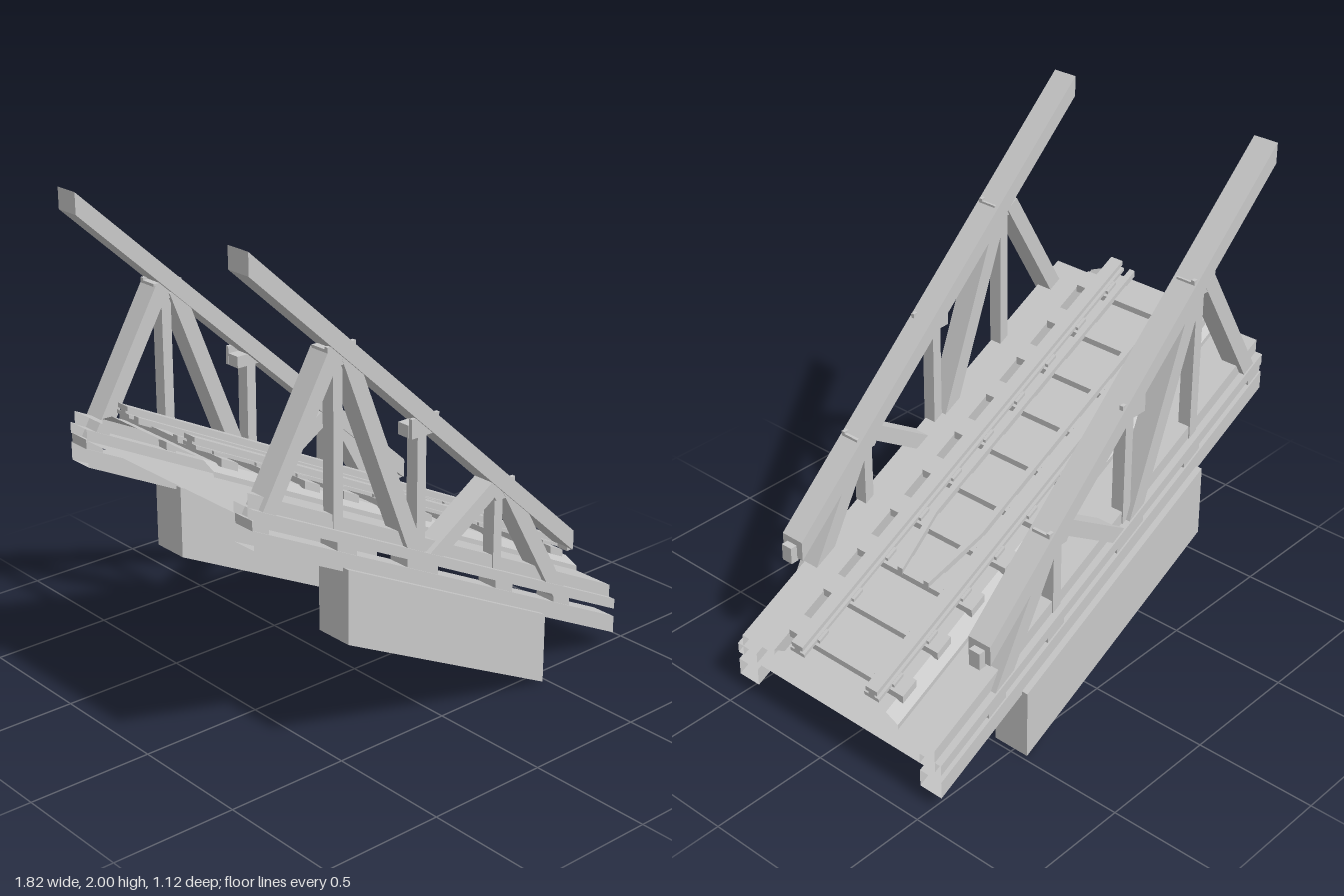
import * as THREE from 'three';

// Double-sided because the deck and the box beams are open at their ends
const steel = new THREE.MeshStandardMaterial({ color: 0xc8c8c8, side: THREE.DoubleSide });
steel.name = 'steelGrey';
const SLOPE = -0.5;

export function createModel() {
  const model = new THREE.Group();
  model.name = 'inclinedRailBridge';

  const add = (name, geometry, parent = model) => {
    const mesh = new THREE.Mesh(geometry, steel);
    mesh.name = name;
    parent.add(mesh);
    return mesh;
  };

  const outline = (pts) => new THREE.Shape(pts.map(([x, y]) => new THREE.Vector2(x, y)));

  // Flat outline in x/y, given depth from z0 to z1
  const prism = (name, pts, z0, z1, parent) => {
    const g = new THREE.ExtrudeGeometry(outline(pts), { depth: z1 - z0, bevelEnabled: false });
    return add(name, g.translate(0, 0, z0), parent);
  };

  // Beam following the incline; heights are measured at x = 0
  const incline = (name, x0, x1, h0, h1, z0, z1, parent) => prism(name, [
    [x0, h0 + SLOPE * x0], [x1, h0 + SLOPE * x1],
    [x1, h1 + SLOPE * x1], [x0, h1 + SLOPE * x0],
  ], z0, z1, parent);

  // Open-ended shell of full length: a z/y cross-section run along the incline
  const shell = (name, pts, parent) => {
    const solid = new THREE.ExtrudeGeometry(outline(pts.map(([z, y]) => [-z, y])), { depth: 1.82, bevelEnabled: false });
    solid.translate(0, 0, -0.91).rotateY(Math.PI / 2);
    const { start, count } = solid.groups[1];
    const xyz = solid.attributes.position.array.slice(start * 3, (start + count) * 3);
    for (let i = 0; i < xyz.length; i += 3) xyz[i + 1] += SLOPE * xyz[i];
    const g = new THREE.BufferGeometry();
    g.setAttribute('position', new THREE.BufferAttribute(xyz, 3));
    g.computeVertexNormals();
    return add(name, g, parent);
  };

  // Straight brace of a given width between two points
  const brace = (name, [ax, ay], [bx, by], width, z0, z1, parent) => {
    const len = Math.hypot(bx - ax, by - ay);
    const nx = -(by - ay) / len * width / 2, ny = (bx - ax) / len * width / 2;
    return prism(name, [[ax - nx, ay - ny], [bx - nx, by - ny], [bx + nx, by + ny], [ax + nx, ay + ny]], z0, z1, parent);
  };

  // Deck with the raised, sloped-sided track bed
  shell('deckAndTrackBed', [
    [-0.505, 0.62], [0.505, 0.62], [0.505, 0.715], [0.325, 0.715], [0.325, 0.735],
    [0.265, 0.762], [-0.265, 0.762], [-0.325, 0.735], [-0.325, 0.715], [-0.505, 0.715],
  ]);

  // Sleepers with a tie plate under each rail
  for (let i = 0; i < 10; i++) {
    const x = -0.82 + i * 0.182;
    incline('sleeper', x - 0.035, x + 0.035, 0.755, 0.786, -0.297, 0.297);
    for (const s of [-1, 1]) {
      incline('tiePlate', x - 0.024, x + 0.024, 0.786, 0.798, s * 0.193 - 0.05, s * 0.193 + 0.05);
    }
  }

  for (const s of [-1, 1]) {
    // Running rail: foot, web and head
    const z = s * 0.194;
    incline('railFoot', -0.91, 0.91, 0.786, 0.8, z - 0.037, z + 0.037);
    incline('railWeb', -0.91, 0.91, 0.8, 0.812, z - 0.015, z + 0.015);
    incline('railHead', -0.91, 0.91, 0.81, 0.828, z - 0.029, z + 0.029);

    // Guard rail, bent inwards at its lower end
    const g = s * 0.114;
    incline('guardRail', -0.91, 0.25, 0.78, 0.805, g - 0.013, g + 0.013);
    const tip = incline('guardRailTip', 0.25, 0.49, 0.78, 0.805, g - 0.013, g + 0.013);
    const tp = tip.geometry.attributes.position;
    for (let i = 0; i < tp.count; i++) tp.setZ(i, tp.getZ(i) - s * 0.047 * (tp.getX(i) - 0.25) / 0.24);
    tip.geometry.computeVertexNormals();
  }

  for (const s of [-1, 1]) {
    const truss = new THREE.Group();
    truss.name = s > 0 ? 'frontTruss' : 'backTruss';
    model.add(truss);
    // Depth range given outwards from the centre line
    const span = (a, b) => (s > 0 ? [a, b] : [-b, -a]);
    const full = span(0.43, 0.535), mid = span(0.437, 0.528), thin = span(0.455, 0.51);
    const inner = span(0.445, 0.512), outer = span(0.512, 0.527);

    // Foundation block, lower beam and bottom chord
    incline('foundationBlock', -0.52, 0.48, 0.24, 0.53, ...span(0.405, 0.562), truss);
    const box = (name, y0, y1) => shell(name, [[full[0], y0], [full[1], y0], [full[1], y1], [full[0], y1]], truss);
    box('lowerBeam', 0.515, 0.587);
    box('bottomChord', 0.62, 0.663);
    for (const [a, b] of [[-0.91, -0.84], [-0.54, -0.45], [-0.21, -0.06], [0.24, 0.33], [0.56, 0.65]]) {
      incline('spacer', a, b, 0.585, 0.622, ...mid, truss);
    }

    // Steep top chord and its end block
    prism('topChord', [[-0.91, 1.918], [0.65, 0.503], [0.65, 0.585], [-0.91, 2]], ...full, truss);
    prism('endBlock', [[0.645, 0.49], [0.68, 0.49], [0.68, 0.56], [0.645, 0.56]], ...span(0.46, 0.51), truss);

    // Upright posts
    for (const [x, top] of [[-0.52, 1.56], [-0.13, 1.2], [0.262, 0.85]]) {
      prism('post', [[x - 0.021, 0.64 + SLOPE * x], [x + 0.021, 0.64 + SLOPE * x], [x + 0.021, top], [x - 0.021, top]], ...thin, truss);
    }

    // Diagonal braces
    for (const [a, b] of [
      [[-0.86, 1.04], [-0.55, 1.575]], [[-0.487, 1.56], [-0.155, 0.71]],
      [[-0.13, 0.655], [0.235, 0.885]], [[0.29, 0.87], [0.605, 0.31]],
    ]) brace('brace', a, b, 0.062, ...mid, truss);

    // Joints under the top chord, each with an outer plate
    for (const [a, b, y] of [[-0.58, -0.455, 1.605], [0.2, 0.328, 0.898]]) {
      const m = (a + b) / 2;
      const joint = (top) => [[m - 0.03, y - 0.075], [m + 0.03, y - 0.075], [b, y - 0.02], [b, top], [a, top], [a, y - 0.02]];
      prism('joint', joint(y - 0.009), ...inner, truss);
      prism('jointPlate', joint(y), ...outer, truss);
    }
    prism('joint', [[-0.195, 1.178], [-0.065, 1.178], [-0.065, 1.225], [-0.195, 1.225]], ...thin, truss);
    prism('jointPlate', [[-0.195, 1.178], [-0.065, 1.178], [-0.065, 1.252], [-0.195, 1.252]], ...outer, truss);
  }

  return model;
}
